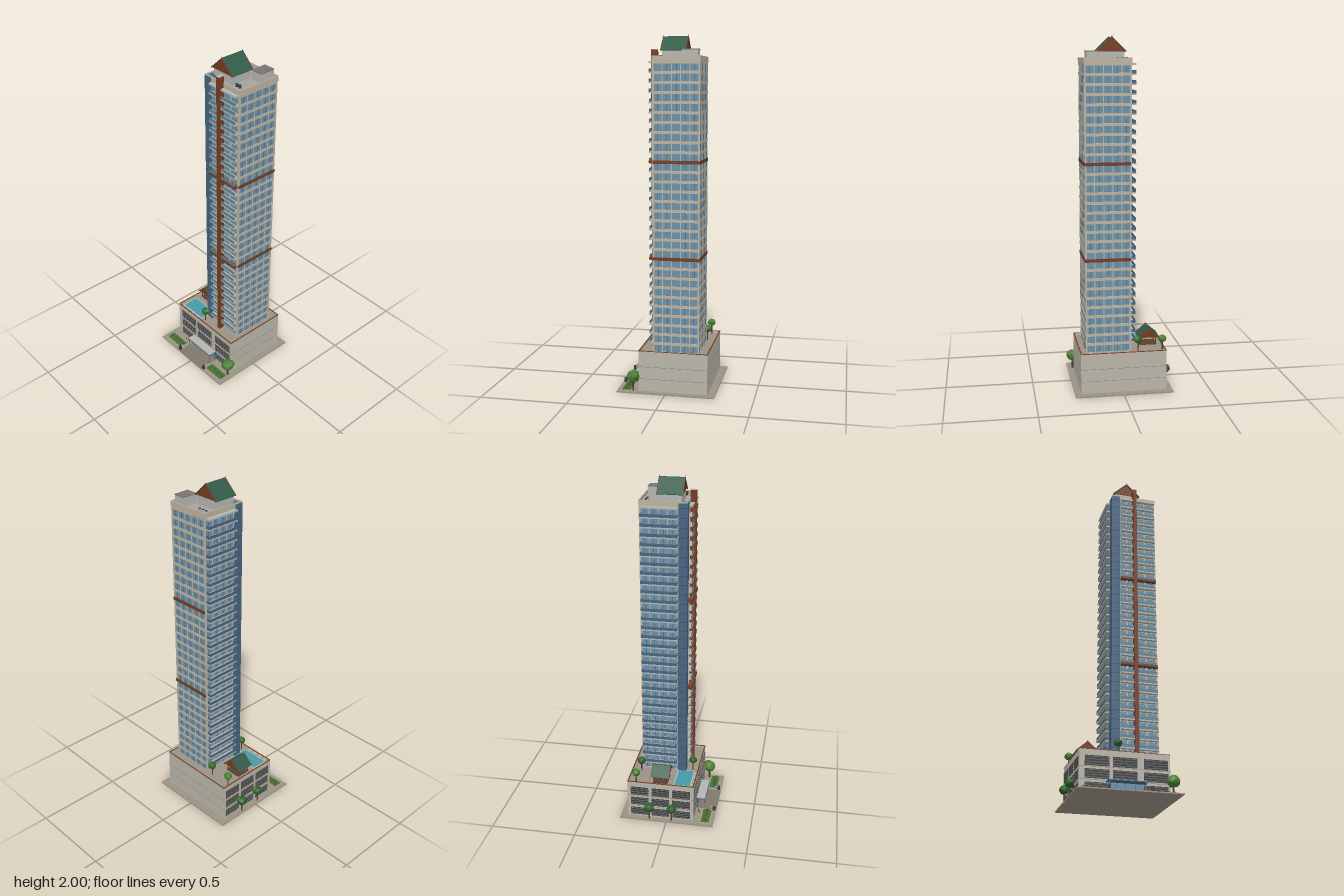
import * as THREE from 'three';

const mat = (color, flat = false) => new THREE.MeshStandardMaterial({ color, flatShading: flat });
const M = {
  paving: mat(0x9a9184), drive: mat(0x81786c), podium: mat(0xb9b5a8), seam: mat(0x85807a), beige: mat(0xbcb2a0),
  glass: mat(0x6a90a8), darkGlass: mat(0x466580), rail: mat(0x5f8396), slab: mat(0xb4b4b0), brown: mat(0x743c22),
  green: mat(0x315a48), roof: mat(0xa5a39d), grey: mat(0x77746f), dark: mat(0x3a3c40), pool: mat(0x4799a8),
  grass: mat(0x4a6e30), leafA: mat(0x4a7d30, true), leafB: mat(0x2f5f2a, true), trunk: mat(0x5a4030), white: mat(0xd8d8d4),
};

// Box given by its extents along x, y and z
function box(parent, name, material, x0, x1, y0, y1, z0, z1) {
  const m = new THREE.Mesh(new THREE.BoxGeometry(x1 - x0, y1 - y0, z1 - z0), material);
  m.position.set((x0 + x1) / 2, (y0 + y1) / 2, (z0 + z1) / 2);
  m.name = name;
  parent.add(m);
  return m;
}

function cylinder(parent, name, material, x, y, z, r, h, sides = 10) {
  const m = new THREE.Mesh(new THREE.CylinderGeometry(r, r, h, sides), material);
  m.position.set(x, y + h / 2, z);
  m.name = name;
  parent.add(m);
  return m;
}

function group(parent, name) {
  const g = new THREE.Group();
  g.name = name;
  parent.add(g);
  return g;
}

// Faceted leaf ball, each vertex pushed by a rule on its direction
function leaves(parent, material, x, y, z, r, detail = 1) {
  const geo = new THREE.IcosahedronGeometry(r, detail);
  const p = geo.attributes.position, v = new THREE.Vector3();
  for (let i = 0; i < p.count; i++) {
    v.fromBufferAttribute(p, i);
    const n = v.clone().divideScalar(r);
    v.multiplyScalar(0.94 + 0.09 * Math.sin(7 * n.x + 40 * x + 5 * n.y) * Math.cos(6 * n.z + 30 * z));
    p.setXYZ(i, v.x, v.y * 0.9, v.z);
  }
  geo.computeVertexNormals();
  const m = new THREE.Mesh(geo, material);
  m.position.set(x, y, z);
  m.name = 'leaves';
  parent.add(m);
}

function tree(parent, x, z, base, crownY, r, material) {
  const g = group(parent, 'tree');
  cylinder(g, 'trunk', M.trunk, x, base, z, r * 0.13, crownY - base, 6);
  leaves(g, material, x, crownY, z, r * 0.92);
  leaves(g, M.leafA, x + r * 0.3, crownY + r * 0.2, z - r * 0.2, r * 0.65);
}

// Gabled roof with its ridge along z: brown end walls, green slopes, barge boards and finials
function gableRoof(parent, x0, x1, eave, peak, z0, z1) {
  const g = group(parent, 'gableRoof');
  const cx = (x0 + x1) / 2, half = (x1 - x0) / 2, rise = peak - eave;
  const tri = new THREE.Shape([[-half * 0.92, 0], [half * 0.92, 0], [0, rise * 0.92]].map(p => new THREE.Vector2(...p)));
  const gable = new THREE.Mesh(new THREE.ExtrudeGeometry(tri, { depth: z1 - z0 - 0.008, bevelEnabled: false }), M.brown);
  gable.position.set(cx, eave, z0 + 0.004);
  gable.name = 'gable';
  g.add(gable);
  const len = Math.hypot(half, rise), angle = Math.atan2(rise, half);
  for (const s of [-1, 1]) {
    const slope = (name, material, w, t, za, zb, lift) => {
      const m = box(g, name, material, 0, w, 0, t, za, zb);
      m.position.set(cx + s * half / 2 + s * lift * Math.sin(angle), eave + rise / 2 + lift * Math.cos(angle), (za + zb) / 2);
      m.rotation.z = -s * angle;
    };
    slope('roofSlope', M.green, len, 0.004, z0, z1, 0);
    for (const z of [z0, z1]) slope('bargeBoard', M.brown, len, 0.007, z - 0.0015, z + 0.0015, 0);
  }
  box(g, 'ridge', M.green, cx - 0.002, cx + 0.002, peak - 0.002, peak + 0.003, z0, z1);
  for (const z of [z0, z1]) cylinder(g, 'finial', M.brown, cx, peak - 0.004, z, 0.0016, 0.014, 6);
}

// Ground, driveway, planting beds, canopy and gate posts
function buildGround(root) {
  const g = group(root, 'forecourt');
  box(g, 'groundSlab', M.paving, -0.285, 0.275, 0, 0.007, -0.28, 0.278);
  box(g, 'driveway', M.drive, -0.11, 0.1, 0.006, 0.0085, 0.157, 0.278);
  for (const [x0, x1] of [[-0.258, -0.128], [0.12, 0.25]]) {
    box(g, 'planterKerb', M.podium, x0 - 0.002, x1 + 0.002, 0.006, 0.011, 0.2, 0.254);
    box(g, 'planterGrass', M.grass, x0, x1, 0.006, 0.013, 0.202, 0.252);
    for (let i = 0; i < 4; i++) leaves(g, M.leafB, x0 + 0.015 + i * 0.034, 0.019, 0.228, 0.01, 0);
  }
  for (const x of [-0.118, 0.11]) {
    box(g, 'gatePost', M.dark, x - 0.007, x + 0.007, 0.007, 0.032, 0.258, 0.272);
    box(g, 'gateArm', M.white, x - 0.001, x + 0.001, 0.026, 0.029, 0.24, 0.258);
  }
  for (const [x, z] of [[-0.163, 0.181], [-0.15, 0.175]]) {
    cylinder(g, 'figureBody', M.dark, x, 0.007, z, 0.0025, 0.013, 6);
    cylinder(g, 'figureHead', M.trunk, x, 0.02, z, 0.0018, 0.004, 6);
  }
  const c = group(g, 'entranceCanopy');
  box(c, 'canopyFrame', M.darkGlass, -0.108, 0.102, 0.068, 0.073, 0.157, 0.21);
  box(c, 'canopyRoof', M.slab, -0.105, 0.099, 0.072, 0.075, 0.157, 0.207);
  for (const x of [-0.1, 0.094]) cylinder(c, 'canopyPost', M.grey, x, 0.007, 0.203, 0.0025, 0.062, 8);
  tree(g, -0.27, -0.105, 0.007, 0.085, 0.034, M.leafB);
  tree(g, -0.268, 0.03, 0.007, 0.085, 0.033, M.leafB);
  tree(g, 0.245, 0.187, 0.007, 0.09, 0.043, M.leafA);
}

// Louvred opening; u runs along the wall, on the front or the -x side
function louvre(parent, side, u0, u1, y0, y1) {
  const put = (name, material, a, b, out) => side
    ? box(parent, name, material, -0.25 - out, -0.245, a, b, u0, u1)
    : box(parent, name, material, u0, u1, a, b, 0.15, 0.157 + out);
  put('opening', M.dark, y0, y1, 0.001);
  for (let i = 0; i < 4; i++) {
    const y = y0 + (y1 - y0) * (i + 0.5) / 4;
    put('louvreBlade', M.grey, y - 0.0015, y + 0.0015, 0.003);
  }
}

function buildPodium(root) {
  const g = group(root, 'podium');
  box(g, 'podiumBody', M.podium, -0.25, 0.24, 0.007, 0.225, -0.237, 0.157);
  box(g, 'deck', M.paving, -0.247, 0.237, 0.224, 0.227, -0.234, 0.154);
  // Parapet with a brown coping
  const edges = [[-0.25, 0.24, -0.237, -0.233], [-0.25, 0.24, 0.153, 0.157], [-0.25, -0.246, -0.237, 0.157], [0.236, 0.24, -0.237, 0.157]];
  for (const [x0, x1, z0, z1] of edges) {
    box(g, 'parapet', M.podium, x0, x1, 0.224, 0.238, z0, z1);
    box(g, 'coping', M.brown, x0 - 0.001, x1 + 0.001, 0.238, 0.241, z0 - 0.001, z1 + 0.001);
  }
  for (const y of [0.078, 0.148]) box(g, 'wallSeam', M.seam, -0.2506, 0.2406, y - 0.001, y + 0.001, -0.2376, 0.1576);
  for (const [y0, y1] of [[0.017, 0.065], [0.085, 0.135], [0.152, 0.206]]) {
    for (const c of [-0.155, -0.005, 0.162]) louvre(g, 0, c - 0.066, c + 0.066, y0, y1);
    for (const c of [-0.165, -0.04, 0.085]) louvre(g, 1, c - 0.053, c + 0.053, y0, y1);
  }
  box(g, 'entranceGlass', M.glass, -0.105, 0.095, 0.007, 0.068, 0.15, 0.162);
  for (let i = 0; i <= 4; i++) box(g, 'entranceMullion', M.darkGlass, -0.106 + i * 0.05, -0.104 + i * 0.05, 0.007, 0.068, 0.157, 0.1635);

  // Pool terrace
  const t = group(root, 'poolTerrace');
  box(t, 'poolRim', M.slab, -0.233, -0.054, 0.226, 0.23, 0.032, 0.138);
  box(t, 'poolWater', M.pool, -0.225, -0.062, 0.226, 0.2315, 0.04, 0.13);
  for (const x of [-0.215, -0.175, -0.13, -0.088]) {
    box(t, 'loungerSeat', M.white, x - 0.007, x + 0.007, 0.23, 0.233, 0.141, 0.151);
    box(t, 'loungerBack', M.white, x - 0.007, x - 0.004, 0.233, 0.238, 0.141, 0.151);
  }
  // Open pavilion
  const p = group(root, 'pavilion');
  box(p, 'pavilionFloor', M.trunk, -0.222, -0.122, 0.226, 0.231, -0.09, -0.002);
  for (const x of [-0.217, -0.127]) for (const z of [-0.085, -0.007]) cylinder(p, 'pavilionPost', M.brown, x, 0.23, z, 0.003, 0.045, 6);
  gableRoof(p, -0.235, -0.11, 0.272, 0.325, -0.1, 0.008);
  tree(t, -0.235, -0.187, 0.226, 0.295, 0.027, M.leafA);
  tree(t, -0.095, -0.183, 0.226, 0.295, 0.028, M.leafB);
  tree(t, -0.035, 0.122, 0.226, 0.295, 0.027, M.leafB);
}

function buildTower(root) {
  const g = group(root, 'tower');
  const base = 0.225, pitch = 0.054, floors = 30, top = base + pitch * floors;
  box(g, 'glassCore', M.glass, -0.052, 0.204, base, top, -0.182, 0.077);
  box(g, 'cornerGlass', M.darkGlass, -0.06, -0.012, base, 1.872, 0.033, 0.083);
  // Vertical piers on the back, right and front, with thin mullions between
  for (let i = 0; i <= 10; i++) {
    const w = i % 10 === 0 ? 0.005 : i % 2 ? 0.001 : 0.0025, z = -0.18 + i * 0.0255, x = -0.05 + i * 0.0252;
    const material = i % 2 ? M.darkGlass : M.beige;
    box(g, 'rightPier', material, 0.2, 0.206, base, top, z - w, z + w);
    box(g, 'backPier', material, x - w, x + w, base, top, -0.184, -0.178);
    if (z < 0.03) box(g, 'leftPier', material, -0.054, -0.048, base, top, z - w, z + w);
  }
  for (const x of [0.03, 0.14, 0.2]) box(g, 'frontPier', M.beige, x - 0.004, x + 0.004, base, top, 0.07, 0.082);
  // Floor bands, front and left balconies
  for (let k = 0; k <= floors; k++) {
    const y = base + k * pitch, accent = k === 10 || k === 20;
    box(g, 'floorBand', M.beige, -0.055, 0.207, y - 0.008, y + 0.008, -0.185, 0.08);
    box(g, 'cornerJoint', M.dark, -0.0605, -0.012, y - 0.001, y + 0.001, 0.033, 0.0835);
    if (accent) {
      box(g, 'accentBand', M.brown, -0.05, 0.209, y - 0.009, y + 0.009, -0.187, 0.079);
      box(g, 'accentFront', M.brown, -0.009, 0.201, y - 0.007, y + 0.007, 0.078, 0.103);
    }
    if (k === 0 || k === floors) continue;
    box(g, 'frontBalconySlab', M.slab, -0.008, 0.2, y - 0.004, y + 0.004, 0.078, 0.101);
    box(g, 'frontBalconyRail', M.rail, -0.007, 0.199, y + 0.004, y + 0.021, 0.098, 0.1);
    box(g, 'leftBalconySlab', M.slab, -0.081, -0.05, y - 0.004, y + 0.004, -0.178, 0.028);
    box(g, 'leftBalconyRail', M.darkGlass, -0.08, -0.078, y + 0.004, y + 0.021, -0.177, 0.027);
    for (const z of [-0.177, 0.025]) box(g, 'leftBalconyEnd', M.darkGlass, -0.08, -0.055, y + 0.004, y + 0.021, z, z + 0.002);
  }
  // Roof-level caps over the balconies
  box(g, 'leftBalconyCap', M.slab, -0.081, -0.05, top - 0.004, top + 0.006, -0.178, 0.028);
  box(g, 'frontBalconyCap', M.slab, -0.008, 0.2, top - 0.004, top + 0.006, 0.078, 0.101);
  box(g, 'verticalFin', M.brown, 0.065, 0.086, base, 1.918, 0.076, 0.112);
  box(g, 'finCap', M.slab, 0.064, 0.087, 1.917, 1.919, 0.076, 0.113);
}

function buildRoof(root) {
  const g = group(root, 'towerRoof');
  box(g, 'roofDeck', M.roof, -0.055, 0.207, 1.84, 1.862, -0.185, 0.08);
  for (const [x0, x1, z0, z1] of [[-0.057, 0.209, -0.187, -0.182], [-0.057, 0.209, 0.076, 0.081], [-0.057, -0.052, -0.187, 0.081], [0.204, 0.209, -0.187, 0.081]])
    box(g, 'roofParapet', M.beige, x0, x1, 1.85, 1.88, z0, z1);
  box(g, 'roofHouse', M.slab, -0.03, 0.11, 1.86, 1.917, -0.085, 0.045);
  gableRoof(g, -0.04, 0.12, 1.912, 1.988, -0.09, 0.052);
  box(g, 'machineRoom', M.slab, 0.125, 0.191, 1.86, 1.914, -0.17, -0.08);
  box(g, 'machineRoomRoof', M.grey, 0.124, 0.192, 1.912, 1.917, -0.171, -0.079);
  // Cooling units
  for (const x of [-0.03, -0.006, 0.018]) {
    box(g, 'coolingUnit', M.slab, x - 0.009, x + 0.009, 1.86, 1.878, -0.159, -0.141);
    cylinder(g, 'coolingFan', M.dark, x, 1.878, -0.15, 0.007, 0.003, 12);
  }
  box(g, 'equipmentPad', M.slab, 0.136, 0.178, 1.86, 1.868, 0.028, 0.056);
  for (const x of [0.146, 0.168]) cylinder(g, 'tank', M.dark, x, 1.866, 0.042, 0.008, 0.018, 8);
}

export function createModel() {
  const root = new THREE.Group();
  root.name = 'residentialTower';
  buildGround(root);
  buildPodium(root);
  buildTower(root);
  buildRoof(root);
  return root;
}
